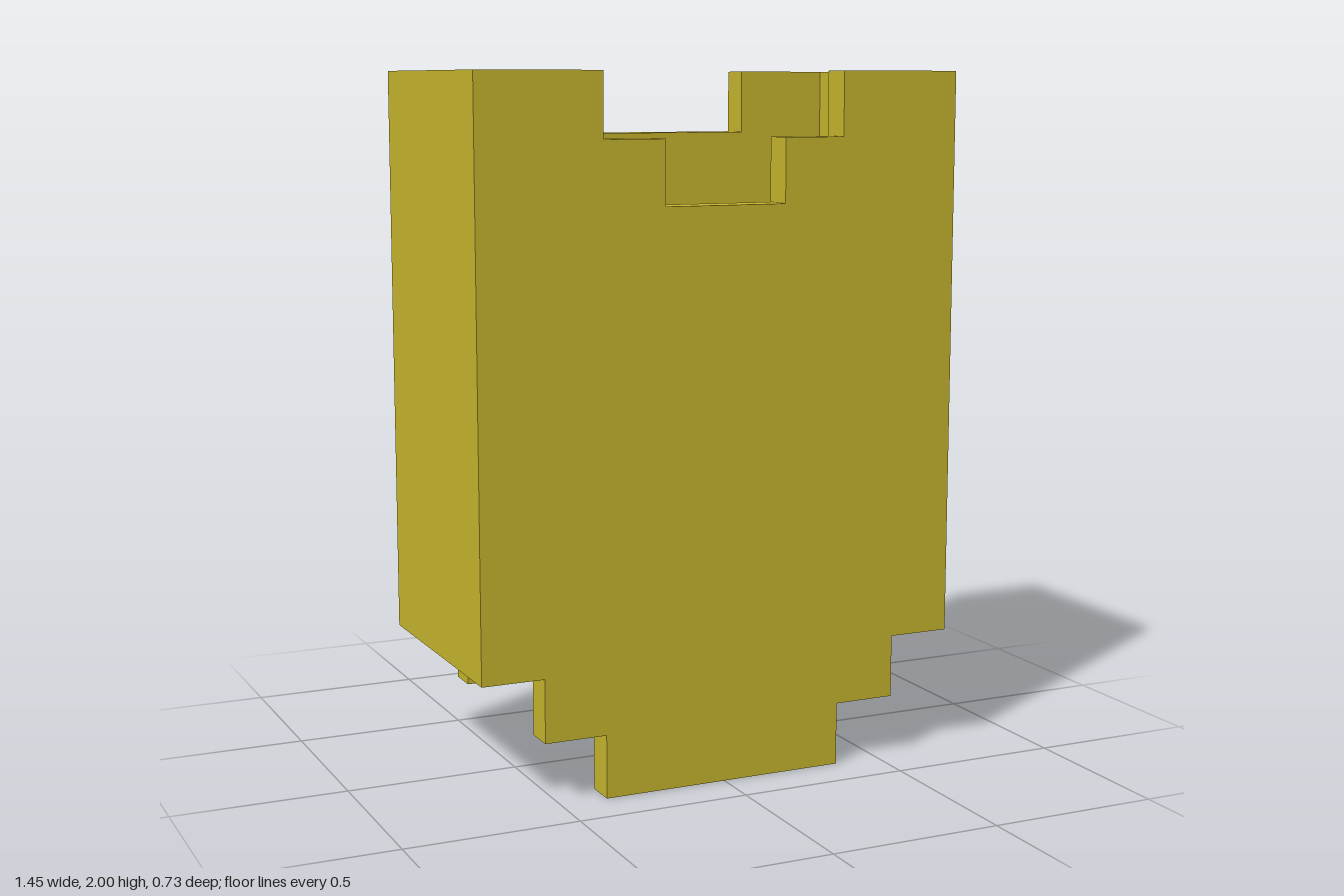
import * as THREE from 'three';

const U = 2 / 11;          // step size of the notches
const WALL = U / 2;        // wall thickness

// Upright panel from the right half of its outline (in steps), mirrored to the left
function panel(name, half, z, material) {
  const outline = [...half, ...half.map(([x, y]) => [-x, y]).reverse()];
  const shape = new THREE.Shape(outline.map(([x, y]) => new THREE.Vector2(x * U, y * U)));
  const geometry = new THREE.ExtrudeGeometry(shape, { depth: WALL, bevelEnabled: false });
  geometry.translate(0, 0, z);
  const mesh = new THREE.Mesh(geometry, material);
  mesh.name = name;
  return mesh;
}

export function createModel() {
  const group = new THREE.Group();
  group.name = 'openSleeve';
  const material = new THREE.MeshStandardMaterial({ color: 0xc8b62e, flatShading: true });

  // Front wall: two-step tab below, two-step notch above
  group.add(panel('frontWall', [
    [2, 0], [2, 1], [3, 1], [3, 2], [4, 2], [4, 11], [2, 11], [2, 10], [1, 10], [1, 9],
  ], 1.5 * U, material));

  // Back wall: single wide tab below, single notch above
  group.add(panel('backWall', [
    [3, 1], [3, 2], [4, 2], [4, 11], [2, 11], [2, 10],
  ], -2 * U, material));

  // Plain side walls between front and back
  for (const side of [-1, 1]) {
    const wall = new THREE.Mesh(new THREE.BoxGeometry(WALL, 9 * U, 3 * U), material);
    wall.position.set(side * 3.75 * U, 6.5 * U, 0);
    wall.name = side > 0 ? 'leftWall' : 'rightWall';
    group.add(wall);
  }
  return group;
}
